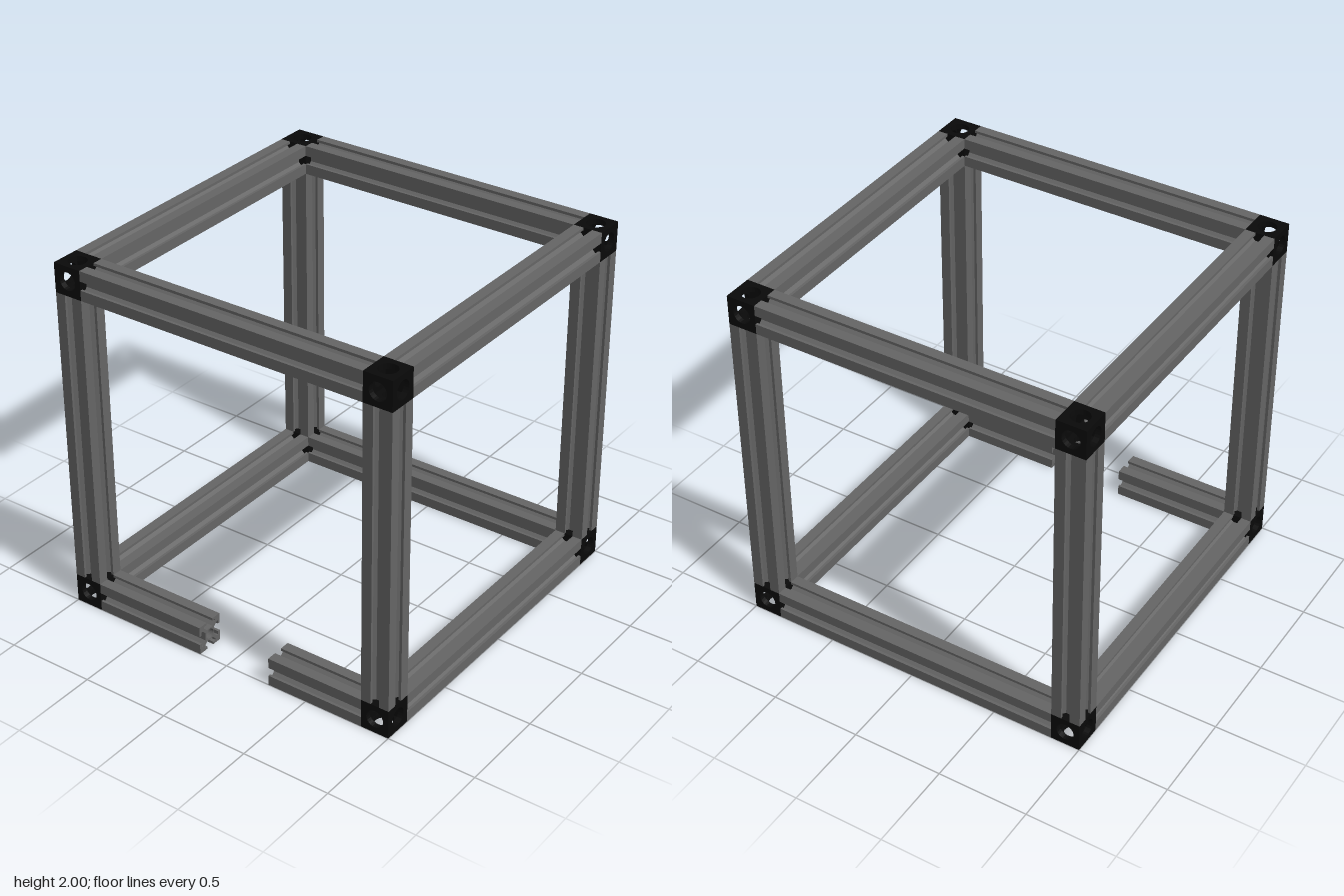
import * as THREE from 'three';

const S = 0.163;            // beam and corner block width
const C = 1 - S / 2;        // distance of beam centre lines from the cube centre
const IN = 1 - S;           // where beams meet the corner blocks
const T = 0.03;             // wall of the hollow corner blocks
const SIGNS = [-1, 1];

const beamMat = new THREE.MeshStandardMaterial({ color: 0x666666 });
const cornerMat = new THREE.MeshStandardMaterial({ color: 0x0a0a0a });

function addHole(shape, r) {
  shape.holes.push(new THREE.Path().absarc(0, 0, r, 0, Math.PI * 2, true));
}

// Turn a geometry built along z so that it runs along the given axis
function alignTo(geo, axis) {
  if (axis === 0) geo.rotateY(Math.PI / 2);
  if (axis === 1) geo.rotateX(Math.PI / 2);
  return geo;
}

function extrude(shape, depth, axis) {
  const geo = new THREE.ExtrudeGeometry(shape, { depth, bevelEnabled: false, curveSegments: 12 });
  return alignTo(geo.translate(0, 0, -depth / 2), axis);
}

// Slotted profile: one side, repeated four times around a central bore
function beamShape() {
  const side = [[10, -10], [10, -3], [8.2, -3], [8.2, -5.5], [7, -5.5], [4.3, -2.8],
    [4.3, 2.8], [7, 5.5], [8.2, 5.5], [8.2, 3], [10, 3]];
  const pts = [];
  for (let k = 0; k < 4; k++) {
    for (const [x, y] of side) {
      pts.push(new THREE.Vector2(x, y).multiplyScalar(S / 20)
        .rotateAround(new THREE.Vector2(), k * Math.PI / 2));
    }
  }
  const shape = new THREE.Shape(pts);
  addHole(shape, 0.029);
  return shape;
}

function plate(w, h, r, axis) {
  const shape = new THREE.Shape([[-w, -h], [w, -h], [w, h], [-w, h]]
    .map(([x, y]) => new THREE.Vector2(x / 2, y / 2)));
  addHole(shape, r);
  return extrude(shape, T, axis);
}

export function createModel() {
  const model = new THREE.Group();
  model.name = 'cubeFrame';
  const profile = beamShape();
  const axisNames = ['crossBeam', 'uprightBeam', 'sideBeam'];

  // Twelve beams, the lower front one interrupted by a gap
  for (let axis = 0; axis < 3; axis++) {
    for (const a of SIGNS) for (const b of SIGNS) {
      const broken = axis === 0 && a === -1 && b === 1;
      const spans = broken ? [[-IN, -0.17], [0.27, IN]] : [[-IN, IN]];
      for (const [from, to] of spans) {
        const beam = new THREE.Mesh(extrude(profile, to - from, axis), beamMat);
        const p = [0, 0, 0];
        p[axis] = (from + to) / 2;
        p[axis === 0 ? 1 : 0] = a * C;
        p[axis === 2 ? 1 : 2] = b * C;
        beam.position.set(p[0], p[1] + 1, p[2]);
        beam.name = broken ? 'cutBeam' : axisNames[axis];
        model.add(beam);
      }
    }
  }

  // Hollow corner blocks: wide openings outside, small bolt holes towards the beams
  const inner = S - 2 * T;
  const sizes = [[S, S], [inner, S], [inner, inner]];
  const outerPlates = sizes.map(([w, h], axis) => plate(w, h, 0.05, axis));
  const innerPlates = sizes.map(([w, h], axis) => plate(w, h, 0.028, axis));
  for (const x of SIGNS) for (const y of SIGNS) for (const z of SIGNS) {
    const corner = new THREE.Group();
    corner.name = 'cornerBlock';
    corner.position.set(x * C, 1 + y * C, z * C);
    [x, y, z].forEach((out, axis) => {
      for (const s of SIGNS) {
        const wall = new THREE.Mesh((s === out ? outerPlates : innerPlates)[axis], cornerMat);
        wall.name = s === out ? 'outerWall' : 'innerWall';
        wall.position.setComponent(axis, s * (S - T) / 2);
        corner.add(wall);
      }
    });
    model.add(corner);
  }
  return model;
}
